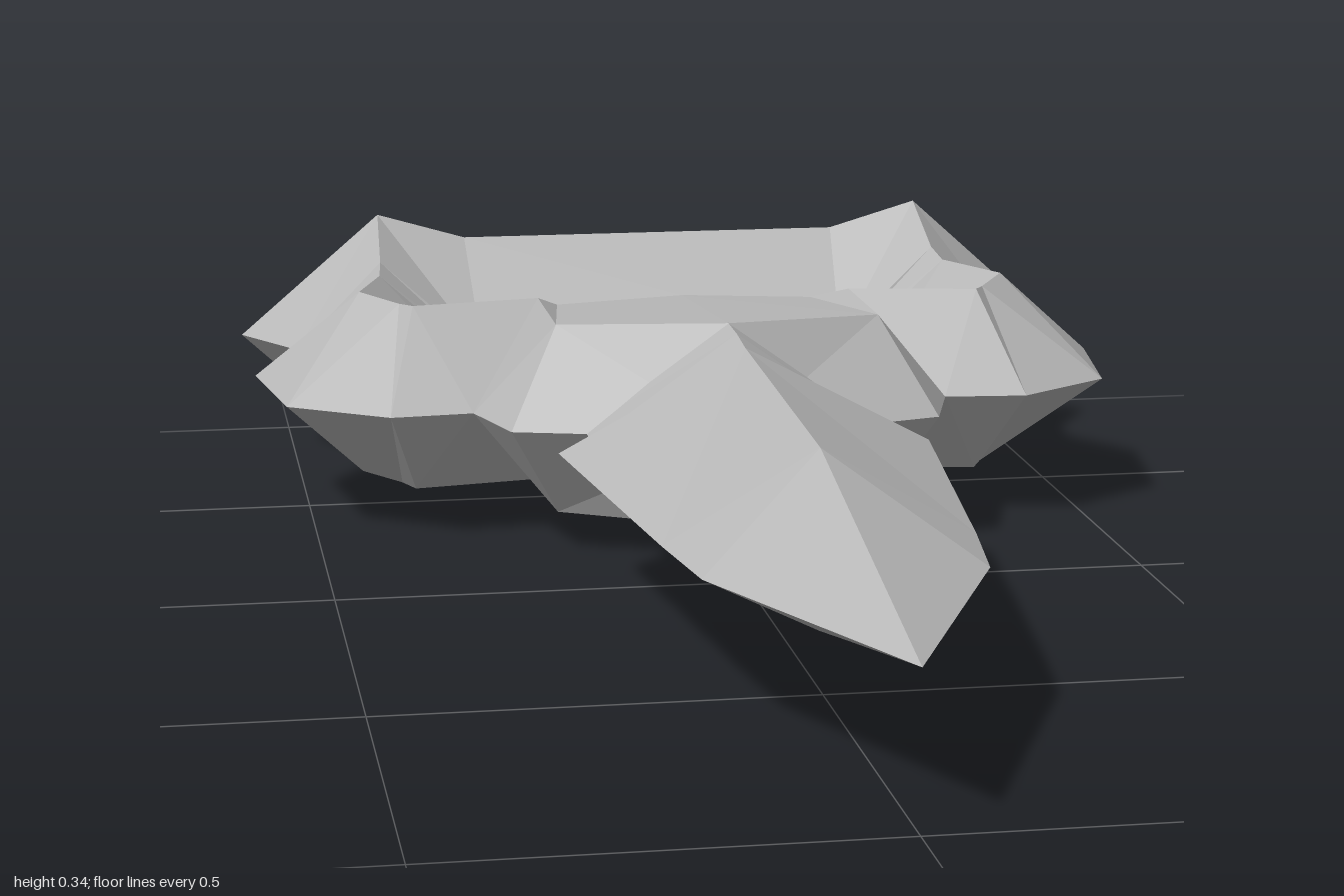
import * as THREE from 'three';

const MID = 0.17; // height of the horizontal symmetry plane
const steel = new THREE.MeshStandardMaterial({ color: 0xb8b8b8 });
steel.name = 'steel grey';

// Skin a list of equal-length point rings with flat facets, using the shorter diagonal of each quad
function skin(name, rings) {
  const pos = [];
  const tri = (a, b, c) => {
    const n = b.clone().sub(a).cross(c.clone().sub(a));
    if (n.length() > 1e-7) for (const p of [a, b, c]) pos.push(p.x, p.y, p.z);
  };
  for (let i = 0; i < rings.length - 1; i++) {
    const n = rings[i].length;
    for (let j = 0; j < n; j++) {
      const k = (j + 1) % n;
      const a = rings[i][j], b = rings[i][k], c = rings[i + 1][k], d = rings[i + 1][j];
      if (a.distanceTo(c) < b.distanceTo(d) - 1e-6) { tri(a, d, c); tri(a, c, b); }
      else { tri(a, d, b); tri(d, c, b); }
    }
  }
  const geo = new THREE.BufferGeometry();
  geo.setAttribute('position', new THREE.Float32BufferAttribute(pos, 3));
  geo.computeVertexNormals();
  const mesh = new THREE.Mesh(geo, steel);
  mesh.name = name;
  return mesh;
}

const V = (x, y, z) => new THREE.Vector3(x, y, z);

// Six-point section: outer rim, two top points, inner rim, two bottom points
function section([ox, oz], [ax, az, ah], [bx, bz, bh], [ix, iz]) {
  return [
    V(ox, MID, oz), V(ax, MID + ah, az), V(bx, MID + bh, bz),
    V(ix, MID, iz), V(bx, MID - bh, bz), V(ax, MID - ah, az),
  ];
}
const diamond = (outer, top, inner) => section(outer, top, top, inner);
const mirror = (ring) => ring.map((p) => V(-p.x, p.y, p.z));

export function createModel() {
  const group = new THREE.Group();
  group.name = 'pushDagger';

  // Blade: diamond sections [z, half width, half height]
  const blade = [
    [-0.13, 0.18, 0.13], [-0.06, 0.18, 0.128], [0, 0.228, 0.122],
    [0.48, 0.175, 0.103], [0.63, 0.155, 0.073], [1, 0, 0],
  ].map(([z, w, h]) => [V(-w, MID, z), V(0, MID + h, z), V(w, MID, z), V(0, MID - h, z)]);
  group.add(skin('blade', blade));

  // Guard block, from the centre outwards
  const centre = section([0, -0.05], [0, -0.12, 0.13], [0, -0.49, 0.1], [0, -0.54]);
  const shoulder = section([0.27, -0.13], [0.205, -0.2, 0.12], [0.17, -0.475, 0.095], [0.17, -0.54]);
  const cheek = section([0.305, -0.25], [0.205, -0.39, 0.12], [0.245, -0.46, 0.09], [0.23, -0.575]);
  const guard = [mirror(cheek), mirror(shoulder), centre, shoulder, cheek];
  group.add(skin('guard', guard));

  // Arm sweeping back from the guard to the grip corner
  const arm = [
    cheek,
    diamond([0.41, -0.24], [0.37, -0.36, 0.12], [0.295, -0.485]),
    diamond([0.535, -0.33], [0.385, -0.39, 0.118], [0.29, -0.5]),
    diamond([0.565, -0.54], [0.43, -0.475, 0.12], [0.28, -0.53]),
    diamond([0.5, -0.65], [0.39, -0.65, 0.11], [0.27, -0.65]),
    diamond([0.5, -0.71], [0.385, -0.7, 0.12], [0.26, -0.67]),
    diamond([0.57, -0.835], [0.38, -0.8, 0.17], [0.25, -0.67]),
  ];
  group.add(skin('leftArm', arm));
  group.add(skin('rightArm', arm.map(mirror).reverse()));

  // Grip bar with pointed corners
  const half = [
    arm[arm.length - 1],
    diamond([0.37, -1], [0.38, -0.8, 0.17], [0.25, -0.67]),
    diamond([0.25, -0.925], [0.26, -0.8, 0.135], [0.25, -0.67]),
  ];
  group.add(skin('gripBar', [...half, ...half.map(mirror).reverse()]));

  return group;
}
